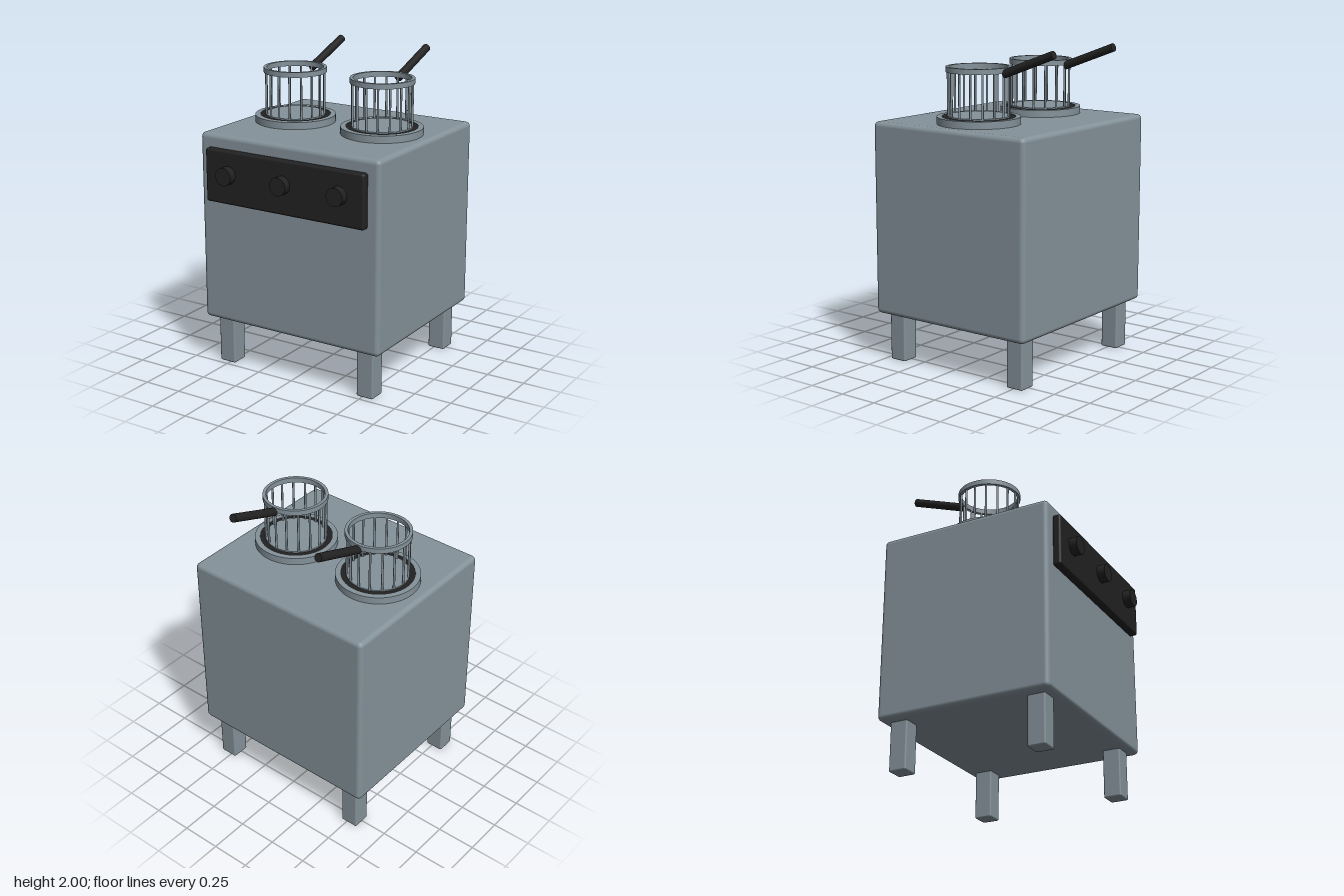
import * as THREE from 'three';
import { RoundedBoxGeometry } from 'three/addons/geometries/RoundedBoxGeometry.js';

export function createModel() {
  const steel = new THREE.MeshStandardMaterial({ color: 0x84929a });
  steel.name = 'steel';
  const black = new THREE.MeshStandardMaterial({ color: 0x222222 });
  black.name = 'black';

  const model = new THREE.Group();
  model.name = 'twinFryer';

  const add = (parent, name, geometry, material, x, y, z) => {
    const mesh = new THREE.Mesh(geometry, material);
    mesh.name = name;
    mesh.position.set(x, y, z);
    parent.add(mesh);
    return mesh;
  };

  // Square-section ring standing on y = 0
  const ring = (inner, outer, height) => {
    const shape = new THREE.Shape().absarc(0, 0, outer, 0, Math.PI * 2, false);
    shape.holes.push(new THREE.Path().absarc(0, 0, inner, 0, Math.PI * 2, true));
    const g = new THREE.ExtrudeGeometry(shape, { depth: height, bevelEnabled: false, curveSegments: 48 });
    return g.rotateX(-Math.PI / 2);
  };

  const midZ = -0.05;

  // Cabinet
  add(model, 'cabinet', new RoundedBoxGeometry(1.29, 1.22, 1.15, 3, 0.03), steel, 0, 0.92, midZ);

  // Legs
  const legGeo = new RoundedBoxGeometry(0.116, 0.33, 0.116, 2, 0.01);
  for (const sx of [-1, 1])
    for (const sz of [-1, 1])
      add(model, 'leg', legGeo, steel, sx * 0.518, 0.165, midZ + sz * 0.46);

  // Control panel and knobs
  add(model, 'controlPanel', new RoundedBoxGeometry(1.14, 0.34, 0.055, 3, 0.015), black, 0, 1.28, 0.549);
  const knobGeo = new THREE.CylinderGeometry(0.057, 0.057, 0.06, 32).rotateX(Math.PI / 2);
  for (const x of [-0.4, 0, 0.4]) add(model, 'knob', knobGeo, black, x, 1.3, 0.598);

  // Two wells, each with a wire basket
  const collarGeo = ring(0.225, 0.257, 0.047);
  const oilGeo = new THREE.CylinderGeometry(0.225, 0.225, 0.044, 48);
  const floorGeo = new THREE.CylinderGeometry(0.192, 0.192, 0.01, 48);
  const rimGeo = ring(0.18, 0.2, 0.033);
  const wireGeo = new THREE.CylinderGeometry(0.007, 0.007, 0.28, 8);
  const wires = 16;

  // Handle runs back and up from the rim
  const start = new THREE.Vector3(0, 1.843, -0.195);
  const end = new THREE.Vector3(0, 1.976, -0.552);
  const dir = end.clone().sub(start);
  const handleGeo = new THREE.CylinderGeometry(0.026, 0.026, dir.length(), 20);
  const mid = start.clone().add(end).multiplyScalar(0.5);

  for (const x of [-0.32, 0.32]) {
    const fryer = new THREE.Group();
    fryer.name = x < 0 ? 'rightWell' : 'leftWell';
    fryer.position.set(x, 0, midZ);
    model.add(fryer);

    add(fryer, 'collar', collarGeo, steel, 0, 1.528, 0);
    add(fryer, 'wellInterior', oilGeo, black, 0, 1.551, 0);

    const basket = new THREE.Group();
    basket.name = 'basket';
    fryer.add(basket);
    add(basket, 'basketFloor', floorGeo, steel, 0, 1.576, 0);
    add(basket, 'basketRim', rimGeo, steel, 0, 1.846, 0);
    for (let i = 0; i < wires; i++) {
      const a = (i / wires) * Math.PI * 2;
      add(basket, 'basketWire', wireGeo, steel, Math.sin(a) * 0.187, 1.715, Math.cos(a) * 0.187);
    }
    const handle = add(basket, 'handle', handleGeo, black, mid.x, mid.y, mid.z);
    handle.quaternion.setFromUnitVectors(new THREE.Vector3(0, 1, 0), dir.clone().normalize());
  }

  return model;
}
